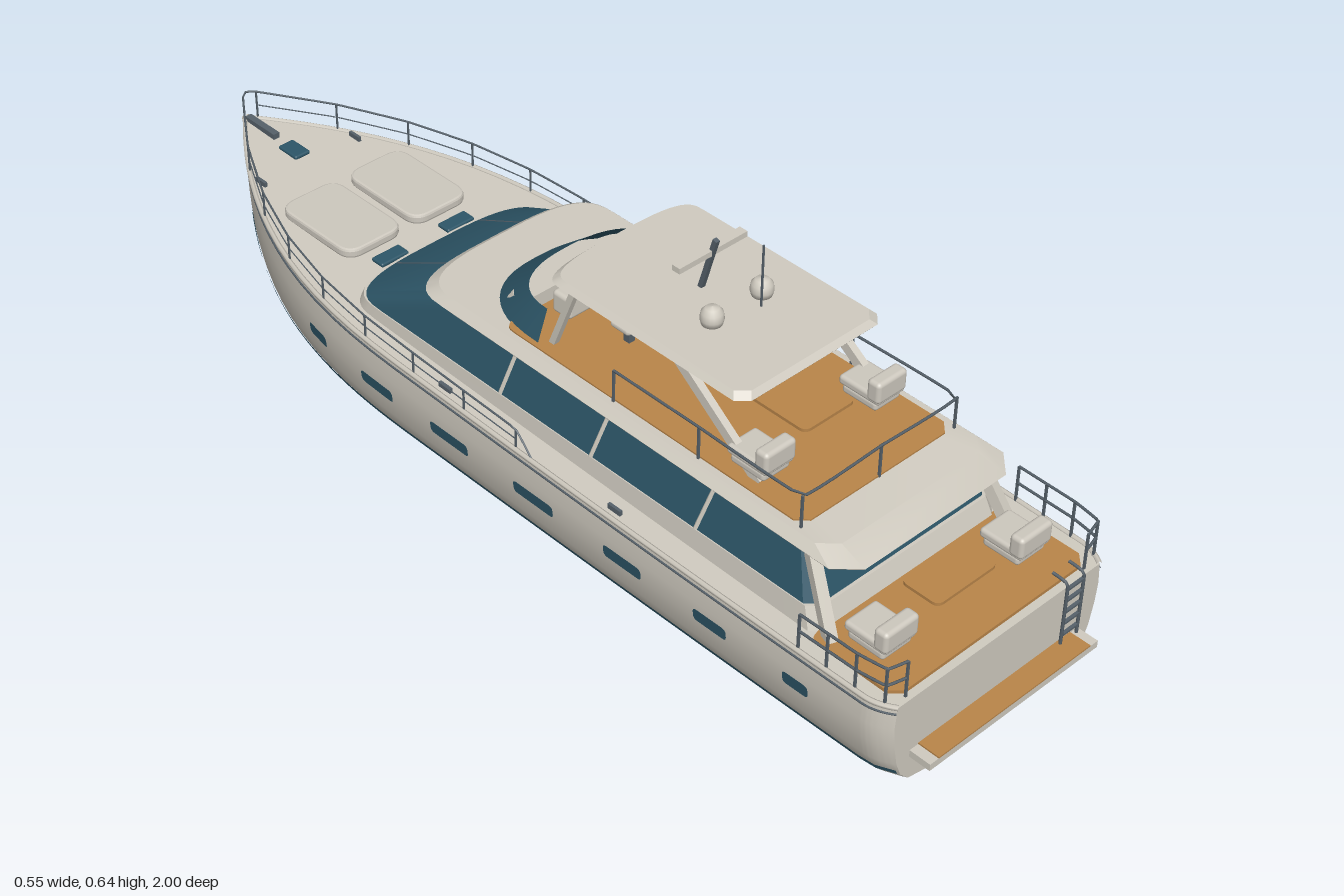
import * as THREE from 'three';
import { toCreasedNormals } from 'three/addons/utils/BufferGeometryUtils.js';
import { RoundedBoxGeometry } from 'three/addons/geometries/RoundedBoxGeometry.js';

const mat = (name, color, side = THREE.FrontSide) => Object.assign(new THREE.MeshStandardMaterial({ color, side }), { name });
const V = (x, y, z) => new THREE.Vector3(x, y, z);

// Hull lines: half beam, keel height and deck height along z (bow at -1)
const beam = z => {
  if (z < -0.2) return Math.max(0.003, 0.275 * (1 - Math.pow((-z - 0.2) / 0.8, 2.4)));
  const aft = Math.max(0, z) / 0.955, corner = Math.max(0, (z - 0.9) / 0.055);
  return 0.275 - 0.008 * aft * aft - 0.02 * corner * corner;
};
const keel = z => 0.05 * Math.pow(Math.max(0, (-z - 0.55) / 0.45), 2);
const sheer = z => 0.2 + 0.037 * Math.pow(Math.max(0, (0.955 - z) / 1.955), 1.5);
const section = [[0, 0], [0.55, 0.03], [0.82, 0.1], [0.9, 0.2], [0.95, 0.36], [0.985, 0.58], [1, 0.78], [0.985, 1]];
function hullX(z, y) {
  const t = (y - keel(z)) / (sheer(z) - keel(z));
  for (let i = 1; i < section.length; i++) {
    const [x0, t0] = section[i - 1], [x1, t1] = section[i];
    if (t <= t1) return beam(z) * (x0 + (x1 - x0) * Math.max(0, t - t0) / (t1 - t0));
  }
  return beam(z) * 0.985;
}

// Skin a stack of closed rings, with both ends filled
function loft(rings, crease = 0.6) {
  const n = rings[0].length, pos = [], idx = [];
  rings.forEach(r => r.forEach(p => pos.push(p.x, p.y, p.z)));
  for (let i = 0; i < rings.length - 1; i++) for (let j = 0; j < n; j++) {
    const k = (j + 1) % n, a = i * n + j, b = i * n + k, c = b + n, d = a + n;
    idx.push(a, b, c, a, c, d);
  }
  [0, rings.length - 1].forEach(i => {
    const m = rings[i].reduce((s, p) => s.add(p), V(0, 0, 0)).divideScalar(n);
    const c = pos.length / 3;
    pos.push(m.x, m.y, m.z);
    for (let j = 0; j < n; j++) {
      const a = i * n + j, b = i * n + (j + 1) % n;
      i ? idx.push(c, a, b) : idx.push(c, b, a);
    }
  });
  const g = new THREE.BufferGeometry();
  g.setAttribute('position', new THREE.Float32BufferAttribute(pos, 3));
  g.setIndex(idx);
  return toCreasedNormals(g, crease);
}

// Rounded front arc, and a full outline with a chamfered aft end
function arc(y, hw, zf, depth, e = 0.6, n = 24) {
  return Array.from({ length: n + 1 }, (_, i) => {
    const t = Math.PI * i / n, c = Math.cos(t);
    return V(hw * Math.sign(c) * Math.pow(Math.abs(c), e), y, zf + depth - depth * Math.pow(Math.max(0, Math.sin(t)), e));
  });
}
const plan = (y, hw, zf, zb, depth = 0.1, ch = 0.02) => [
  V(hw - ch, y, zb), V(hw, y, zb - ch), ...arc(y, hw, zf, depth), V(-hw, y, zb - ch), V(-hw + ch, y, zb)];

const roundRect = (w, h, r) => {
  const s = new THREE.Shape(), x = w / 2, y = h / 2;
  s.moveTo(-x + r, -y).lineTo(x - r, -y).quadraticCurveTo(x, -y, x, -y + r).lineTo(x, y - r).quadraticCurveTo(x, y, x - r, y);
  s.lineTo(-x + r, y).quadraticCurveTo(-x, y, -x, y - r).lineTo(-x, -y + r).quadraticCurveTo(-x, -y, -x + r, -y);
  return s;
};

export function createModel() {
  const root = new THREE.Group();
  root.name = 'motorYacht';
  const white = mat('hull white', 0xd0cbc0), pad = mat('cushion', 0xcdc8be), teak = mat('teak', 0xb98549);
  const glass = mat('tinted glass', 0x2d5668, THREE.DoubleSide), metal = mat('rail metal', 0x56616a);

  const add = (name, geo, m, x = 0, y = 0, z = 0, parent = root) => {
    const o = new THREE.Mesh(geo, m);
    o.name = name;
    o.position.set(x, y, z);
    parent.add(o);
    return o;
  };
  const box = (name, w, h, d, m, x, y, z) => add(name, new THREE.BoxGeometry(w, h, d), m, x, y, z);
  const soft = (name, w, h, d, r, m, x, y, z, p) => add(name, new RoundedBoxGeometry(w, h, d, 3, r), m, x, y, z, p);
  const tube = (name, pts, r = 0.0025, m = metal) =>
    add(name, new THREE.TubeGeometry(new THREE.CatmullRomCurve3(pts, false, 'catmullrom', 0.1), pts.length * 6, r, 6), m);
  const bar = (name, a, b, w, d, m) => {
    const o = box(name, w, d, a.distanceTo(b), m, 0, 0, 0);
    o.position.copy(a).add(b).multiplyScalar(0.5);
    o.lookAt(b);
  };

  // Hull
  const zs = Array.from({ length: 45 }, (_, i) => i < 33 ? -1 + 1.9 * Math.pow(i / 32, 1.4) : 0.9 + 0.055 * (i - 32) / 12);
  add('hull', loft(zs.map(z => {
    const half = section.map(([x, t]) => V(x * beam(z), keel(z) + t * (sheer(z) - keel(z)), z));
    return [...half, ...half.slice(1).reverse().map(p => V(-p.x, p.y, p.z))];
  })), white);

  for (const s of [1, -1]) {
    tube('gunwale', zs.map(z => V(s * beam(z) * 0.98, sheer(z), z)), 0.005, white);
    tube('rubRail', zs.map(z => V(s * (hullX(z, sheer(z) - 0.012) + 0.001), sheer(z) - 0.012, z)), 0.002, metal);
    // Portholes and waterline stripe lie on the hull skin
    [[0.765, 0.055], [0.575, 0.075], [0.37, 0.09], [0.15, 0.1], [-0.07, 0.1], [-0.27, 0.09], [-0.46, 0.06]].forEach(([zc, w]) => {
      const g = new THREE.ShapeGeometry(roundRect(w, 0.026, 0.009), 4), p = g.attributes.position;
      for (let i = 0; i < p.count; i++) {
        const z = zc - s * p.getX(i), y = 0.133 + p.getY(i);
        p.setXYZ(i, s * (hullX(z, y) + 0.0025), y, z);
      }
      g.computeVertexNormals();
      add('hullWindow', g, glass);
    });
    const stripe = new THREE.PlaneGeometry(1, 1, 60, 1), q = stripe.attributes.position;
    for (let i = 0; i < q.count; i++) {
      const z = 0.013 - s * q.getX(i) * 1.88;
      const y = 0.05 + q.getY(i) * 0.01 + 0.025 * Math.pow(Math.max(0, -z - 0.3) / 0.7, 2);
      q.setXYZ(i, s * (hullX(z, y) + 0.003), y, z);
    }
    stripe.computeVertexNormals();
    add('waterlineStripe', stripe, glass);
  }

  // Swim platform and ladder
  box('swimPlatform', 0.41, 0.014, 0.07, white, 0, 0.076, 0.963);
  box('platformTeak', 0.37, 0.003, 0.055, teak, 0, 0.0845, 0.971);
  for (const x of [0.152, 0.193]) tube('ladderRail', [V(x, 0.085, 0.962), V(x, 0.215, 0.962), V(x, 0.22, 0.93)], 0.003);
  for (let i = 0; i < 5; i++) box('ladderRung', 0.041, 0.004, 0.006, metal, 0.1725, 0.105 + i * 0.025, 0.962);

  // Deckhouse
  add('cabinBase', loft([plan(0.195, 0.222, -0.445, 0.765), plan(0.242, 0.215, -0.425, 0.748)]), white);
  add('cabinGlass', loft([plan(0.242, 0.213, -0.42, 0.742), plan(0.328, 0.192, -0.25, 0.712)]), glass);
  add('flybridgeDeck', loft([plan(0.325, 0.195, -0.235, 0.79, 0.1, 0.035), plan(0.34, 0.207, -0.255, 0.805, 0.1, 0.04),
    plan(0.355, 0.192, -0.235, 0.75, 0.1, 0.03)], 0.3), white);
  for (const s of [1, -1]) {
    [0.48, 0.23, 0].forEach(z => bar('windowPillar', V(s * 0.2135, 0.242, z), V(s * 0.1925, 0.328, z + 0.02), 0.004, 0.008, white));
    bar('windscreenPillar', V(s * 0.1, 0.243, -0.412), V(s * 0.09, 0.328, -0.243), 0.004, 0.004, metal);
    bar('aftPillar', V(s * 0.213, 0.2, 0.785), V(s * 0.19, 0.33, 0.715), 0.02, 0.02, white);
  }

  // Flybridge floor, windscreen and helm
  add('flybridgeTeak', loft([plan(0.354, 0.178, -0.04, 0.68, 0.04), plan(0.358, 0.178, -0.04, 0.68, 0.04)]), teak);
  const lo = arc(0.355, 0.17, -0.14, 0.19, 0.8), hi = arc(0.417, 0.145, -0.062, 0.11, 0.8);
  const screen = new THREE.PlaneGeometry(1, 1, lo.length - 1, 1);
  [...hi, ...lo].forEach((p, i) => screen.attributes.position.setXYZ(i, p.x, p.y, p.z));
  screen.computeVertexNormals();
  add('flybridgeWindscreen', screen, glass);
  add('dashboard', loft([plan(0.355, 0.145, -0.11, -0.025, 0.07), plan(0.385, 0.135, -0.08, -0.025, 0.05)]), white);
  soft('helmConsole', 0.18, 0.045, 0.045, 0.008, white, 0, 0.38, 0.02);

  // Hardtop and its legs
  add('hardtop', loft([plan(0.49, 0.155, 0.065, 0.52, 0.05, 0.02), plan(0.502, 0.167, 0.055, 0.53, 0.05, 0.02),
    plan(0.512, 0.157, 0.065, 0.52, 0.05, 0.02)], 0.3), white);
  const dome = [[0, 0], [0.018, 0], [0.021, 0.012], [0.019, 0.024], [0.012, 0.032], [0, 0.035]].map(p => new THREE.Vector2(...p));
  for (const s of [1, -1]) {
    bar('hardtopFrontLeg', V(s * 0.147, 0.355, 0.065), V(s * 0.147, 0.495, 0.12), 0.012, 0.012, white);
    bar('hardtopAftLeg', V(s * 0.15, 0.355, 0.56), V(s * 0.147, 0.495, 0.37), 0.014, 0.02, white);
    add('satelliteDome', new THREE.LatheGeometry(dome, 20), white, s * 0.058, 0.511, 0.352);
  }
  // Mast, radar bar and aerial
  bar('mast', V(0, 0.51, 0.268), V(0, 0.622, 0.3), 0.009, 0.009, metal);
  box('radarBar', 0.156, 0.011, 0.018, white, 0, 0.594, 0.286);
  bar('aerial', V(0.033, 0.51, 0.375), V(0.033, 0.635, 0.375), 0.003, 0.003, metal);

  // Chairs facing the bow, and tables
  const chair = (name, x, y, z, w, h, d) => {
    const g = new THREE.Group();
    g.name = name;
    g.position.set(x, y, z);
    root.add(g);
    soft('chairBase', w * 0.88, h * 0.3, d * 0.85, 0.007, pad, 0, h * 0.15, 0, g);
    soft('chairSeat', w * 0.95, h * 0.3, d, 0.007, pad, 0, h * 0.4, 0, g);
    soft('chairBack', w, h * 0.68, d * 0.32, 0.008, pad, 0, h * 0.66, d * 0.36, g);
  };
  const table = (name, x, y, z, w, d, floor) => {
    const top = new THREE.ExtrudeGeometry(roundRect(w, d, 0.015), { depth: 0.006, bevelEnabled: false });
    add(name + 'Top', top.rotateX(-Math.PI / 2), teak, x, y, z);
    add(name + 'Leg', new THREE.CylinderGeometry(0.004, 0.004, y - floor, 10), metal, x, (y + floor) / 2, z);
  };
  for (const s of [1, -1]) {
    chair('cockpitChair', s * 0.161, 0.212, 0.84, 0.079, 0.063, 0.09);
    chair('flybridgeChair', s * 0.131, 0.37, 0.54, 0.071, 0.063, 0.09);
    chair('helmSeat', s * 0.05, 0.388, 0.15, 0.058, 0.05, 0.055);
    bar('helmSeatPost', V(s * 0.05, 0.357, 0.15), V(s * 0.05, 0.39, 0.15), 0.014, 0.014, metal);
    bar('flybridgeChairPost', V(s * 0.131, 0.357, 0.54), V(s * 0.131, 0.373, 0.54), 0.03, 0.03, metal);
    bar('cockpitChairPost', V(s * 0.161, 0.205, 0.84), V(s * 0.161, 0.215, 0.84), 0.03, 0.03, metal);
  }
  add('cockpitTeak', loft([plan(0.198, 0.232, 0.75, 0.94, 0.02), plan(0.2065, 0.232, 0.75, 0.94, 0.02)]), teak);
  table('cockpitTable', 0, 0.25, 0.84, 0.145, 0.08, 0.205);
  table('flybridgeTable', 0, 0.41, 0.5, 0.12, 0.14, 0.357);

  // Flybridge rail
  const fy = 0.42;
  const flyRail = [[-0.181, 0.25], [-0.181, 0.45], [-0.181, 0.68], [0, 0.68], [0.181, 0.68], [0.181, 0.45], [0.181, 0.25]];
  tube('flybridgeRail', flyRail.map(([x, z]) => V(x, fy, z)));
  flyRail.forEach(([x, z]) => bar('flybridgeRailPost', V(x, 0.354, z), V(x, fy, z), 0.004, 0.004, metal));

  // Bow rail and cockpit side rails
  const bowZ = Array.from({ length: 9 }, (_, i) => 0.1 - 1.08 * i / 8);
  const railY = z => sheer(z) + 0.042 + 0.02 * (0.1 - z) / 1.08;
  for (const s of [1, -1]) {
    const at = (z, y) => V(s * beam(z) * 0.97, y, z);
    tube('bowRail', [at(0.14, sheer(0.14)), ...bowZ.map(z => at(z, railY(z))), V(0, railY(-0.99), -0.992)], 0.002);
    tube('bowMidRail', bowZ.map(z => at(z, (railY(z) + sheer(z)) / 2)), 0.0012);
    bowZ.forEach(z => bar('bowRailPost', at(z, sheer(z)), at(z, railY(z)), 0.003, 0.003, metal));
    const sternZ = [0.76, 0.82, 0.88, 0.935];
    for (const y of [0.24, 0.275]) tube('cockpitRail', [...sternZ.map(z => at(z, y)), V(s * 0.215, y, 0.945)]);
    sternZ.forEach(z => bar('cockpitRailPost', at(z, 0.2), at(z, 0.275), 0.004, 0.004, metal));
    bar('cockpitRailPost', V(s * 0.215, 0.2, 0.945), V(s * 0.215, 0.275, 0.945), 0.004, 0.004, metal);
    [-0.8, -0.1, 0.33].forEach(z => box('cleat', 0.006, 0.01, 0.03, metal, s * (beam(z) - 0.022), sheer(z) + 0.005, z));
    // Foredeck sunpads and hatches
    const sun = new THREE.ExtrudeGeometry(roundRect(0.125, 0.2, 0.03), { depth: 0.01, bevelSize: 0.005, bevelThickness: 0.005, bevelSegments: 2 });
    add('sunpad', sun.rotateX(-Math.PI / 2), pad, s * 0.08, 0.229, -0.6);
    soft('deckHatch', 0.065, 0.009, 0.032, 0.004, glass, s * 0.08, 0.226, -0.458);
  }
  soft('bowHatch', 0.036, 0.009, 0.055, 0.004, glass, 0, 0.235, -0.845);
  box('anchorRoller', 0.014, 0.012, 0.09, metal, 0, 0.24, -0.945);
  return root;
}
